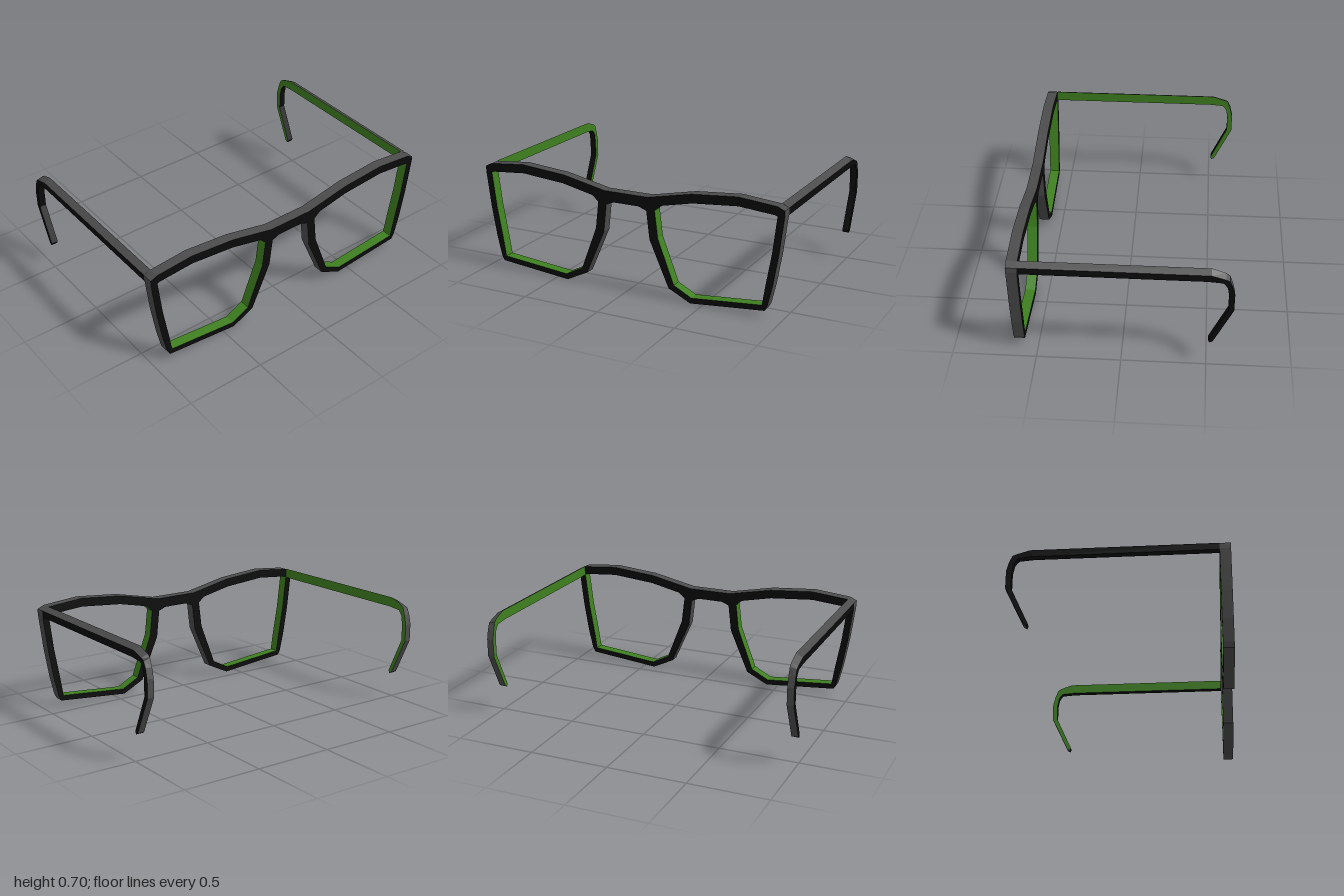
import * as THREE from 'three';

const FRONT = 0.645, BACK = 0.58;
const material = (color) => new THREE.MeshStandardMaterial({ color, flatShading: true, roughness: 0.8 });
const black = material(0x0b0b0b), grey = material(0x4c4c4c), green = material(0x3f8020);

// Half of the outer rim, from the underside of the bridge round to its top
const outerHalf = [
  [0.085, 0.555], [0.135, 0.535], [0.155, 0.36], [0.28, 0.075], [0.423, 0.005], [0.893, 0.05],
  [0.91, 0.08], [0.94, 0.21], [0.972, 0.4], [1, 0.63], [1, 0.663], [0.957, 0.683],
  [0.72, 0.705], [0.43, 0.68], [0.145, 0.62],
];
// Lens opening, counter-clockwise
const opening = [
  [0.23, 0.58], [0.19, 0.545], [0.21, 0.375], [0.315, 0.1], [0.43, 0.04], [0.877, 0.082],
  [0.895, 0.2], [0.93, 0.4], [0.957, 0.625], [0.945, 0.631], [0.72, 0.65], [0.435, 0.625],
];
// Side profile of a temple as [z, y]: upper edge, lower edge, and the slope of its top
const upper = [[BACK, 0.685], [-0.51, 0.685], [-0.59, 0.657], [-0.612, 0.64], [-0.63, 0.59],
  [-0.645, 0.53], [-0.645, 0.42], [-0.533, 0.183], [-0.515, 0.173]];
const lower = [[BACK, 0.622], [-0.49, 0.622], [-0.575, 0.615], [-0.59, 0.6], [-0.602, 0.58],
  [-0.612, 0.525], [-0.612, 0.42], [-0.507, 0.19], [-0.515, 0.173]];
const slope = [0.021, 0.021, 0.017, 0.01, 0, 0, 0, 0, 0];

const mirror = (points) => points.map(([x, y]) => [-x, y]).reverse();
const toVectors = (points) => points.map(([x, y]) => new THREE.Vector2(x, y));

// Band of quads between two rails of [x, y, z] points
function strip(name, a, b, mat, flip = false) {
  const pos = [];
  for (let i = 0; i < a.length - 1; i++) {
    const quad = [a[i], a[i + 1], b[i + 1], b[i]];
    if (flip) quad.reverse();
    for (const k of [0, 1, 2, 0, 2, 3]) pos.push(...quad[k]);
  }
  const geo = new THREE.BufferGeometry();
  geo.setAttribute('position', new THREE.Float32BufferAttribute(pos, 3));
  geo.computeVertexNormals();
  const mesh = new THREE.Mesh(geo, mat);
  mesh.name = name;
  return mesh;
}

// Closed wall running from front to back along a counter-clockwise outline
function wall(name, outline, mat, outward) {
  const loop = [...outline, outline[0]];
  const rail = (z) => loop.map(([x, y]) => [x, y, z]);
  return strip(name, rail(FRONT), rail(BACK), mat, outward);
}

function createFrame() {
  const frame = new THREE.Group();
  frame.name = 'frontFrame';
  const outline = [...outerHalf, ...mirror(outerHalf)];
  const holes = [opening, mirror(opening)];

  // Flat black front and back faces
  const shape = new THREE.Shape(toVectors(outline));
  shape.holes = holes.map((h) => new THREE.Path(toVectors(h)));
  const frontFace = new THREE.Mesh(new THREE.ShapeGeometry(shape), black);
  frontFace.name = 'frameFrontFace';
  frontFace.position.z = FRONT;
  const backGeo = new THREE.ShapeGeometry(shape).rotateY(Math.PI);
  const backFace = new THREE.Mesh(backGeo, black);
  backFace.name = 'frameBackFace';
  backFace.position.z = BACK;
  frame.add(frontFace, backFace);

  // Grey outer edge, green lens openings
  frame.add(wall('frameOuterEdge', outline, grey, true));
  frame.add(wall('leftLensOpening', holes[0], green, false));
  frame.add(wall('rightLensOpening', holes[1], green, false));
  return frame;
}

function createTemple(side) {
  const temple = new THREE.Group();
  temple.name = side > 0 ? 'leftTemple' : 'rightTemple';
  const topOut = upper.map(([z, y], i) => [side, y - slope[i], z]);
  const topIn = upper.map(([z, y]) => [side * 0.958, y, z]);
  const lowOut = lower.map(([z, y]) => [side, y, z]);
  const lowIn = lower.map(([z, y]) => [side * 0.958, y, z]);
  const flip = side < 0;
  temple.add(
    strip('templeTop', topOut, topIn, grey, flip),
    strip('templeInside', topIn, lowIn, green, flip),
    strip('templeUnderside', lowIn, lowOut, black, flip),
    strip('templeOutside', lowOut, topOut, black, flip),
  );
  return temple;
}

export function createModel() {
  const model = new THREE.Group();
  model.name = 'eyeglasses';
  model.add(createFrame(), createTemple(1), createTemple(-1));
  return model;
}
